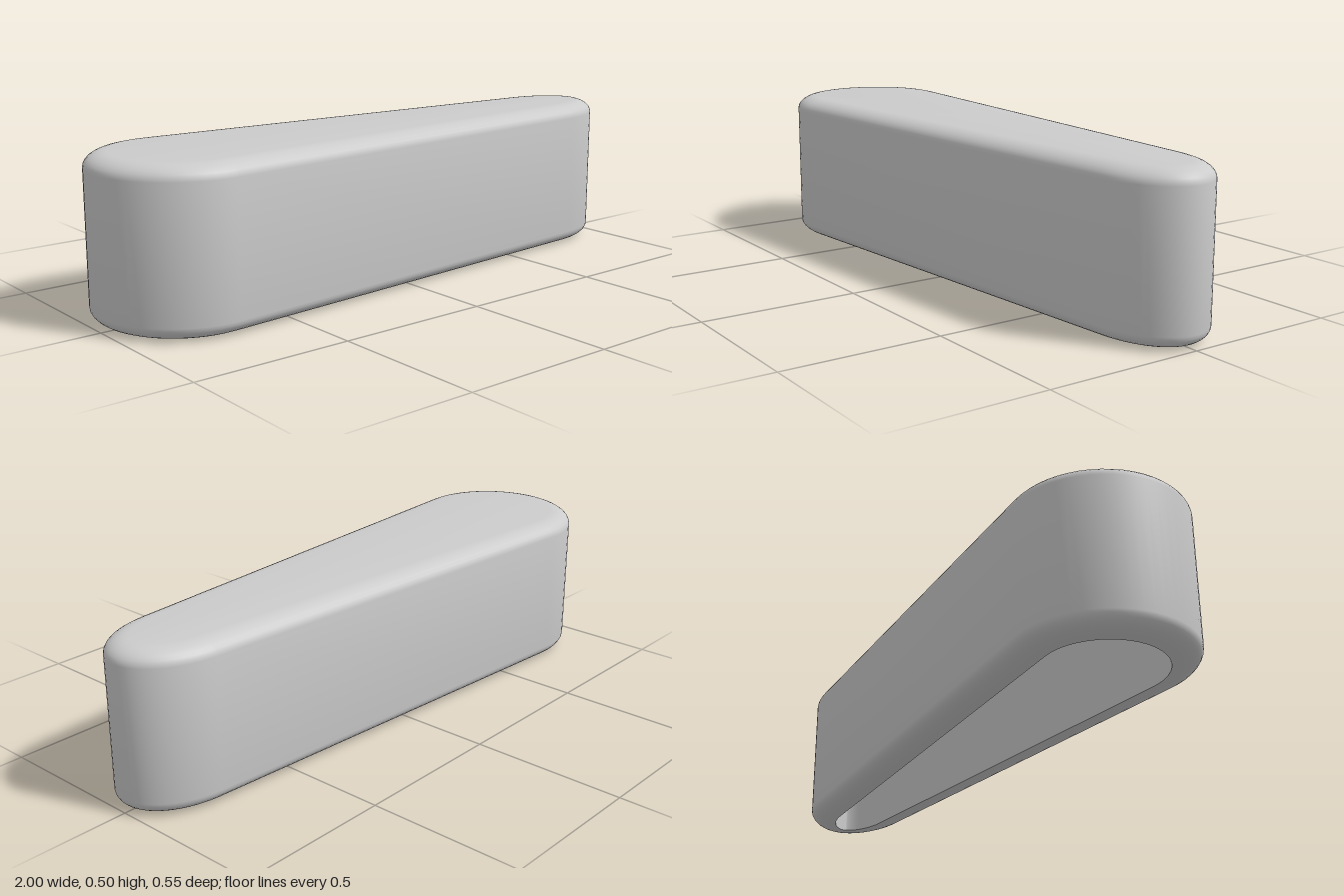
import * as THREE from 'three';
import { toCreasedNormals } from 'three/addons/utils/BufferGeometryUtils.js';

const HEIGHT = 0.503, FILLET_W = 0.07, FILLET_H = 0.045, WALL = 0.09, CEILING = 0.42;

// Teardrop plan: elliptical small end at +x, round large end at -x, joined by straight flanks.
// Each entry holds a point and its outward normal, so the plan can be inset evenly.
function planOutline(steps = 28) {
  const points = [];
  const arc = (cx, a, b, from, to) => {
    for (let i = 0; i <= steps; i++) {
      const t = from + (to - from) * i / steps;
      const n = new THREE.Vector2(Math.cos(t) / a, Math.sin(t) / b).normalize();
      points.push({ x: cx + a * Math.cos(t), z: b * Math.sin(t), nx: n.x, nz: n.y });
    }
  };
  const small = 1.46, large = 1.498; // angles where the flanks leave each end
  arc(0.752, 0.248, 0.17, -small, small);
  arc(-0.723, 0.277, 0.277, large, 2 * Math.PI - large);
  return points;
}

// Section through the wall as [inset, y]; a null inset closes the ring to the centre.
function wallProfile(segments = 7) {
  const fillet = [];
  for (let i = 0; i <= segments; i++) {
    const t = i / segments * Math.PI / 2;
    fillet.push([FILLET_W * (1 - Math.sin(t)), FILLET_H * (1 - Math.cos(t))]);
  }
  return [
    [null, HEIGHT],
    ...fillet.map(([inset, y]) => [inset, HEIGHT - y]),
    ...fillet.slice().reverse(),
    [WALL, 0],
    [WALL, CEILING],
    [null, CEILING],
  ];
}

// Skin the inset outlines from the top, round the outside and up into the hollow.
function shellGeometry() {
  const outline = planOutline(), profile = wallProfile();
  const n = outline.length, positions = [], index = [];
  for (const [inset, y] of profile) {
    for (const p of outline) {
      if (inset === null) positions.push(0, y, 0);
      else positions.push(p.x - p.nx * inset, y, p.z - p.nz * inset);
    }
  }
  for (let j = 0; j < profile.length - 1; j++) {
    for (let i = 0; i < n; i++) {
      const k = (i + 1) % n;
      const a = j * n + i, b = j * n + k, c = a + n, d = b + n;
      if (profile[j][0] !== null) index.push(a, b, c);
      if (profile[j + 1][0] !== null) index.push(b, d, c);
    }
  }
  const geometry = new THREE.BufferGeometry();
  geometry.setAttribute('position', new THREE.Float32BufferAttribute(positions, 3));
  geometry.setIndex(index);
  return toCreasedNormals(geometry, 0.7);
}

export function createModel() {
  const model = new THREE.Group();
  model.name = 'taperedCap';
  const material = new THREE.MeshStandardMaterial({ color: 0xcccccc });
  const shell = new THREE.Mesh(shellGeometry(), material);
  shell.name = 'hollowShell';
  model.add(shell);
  return model;
}
